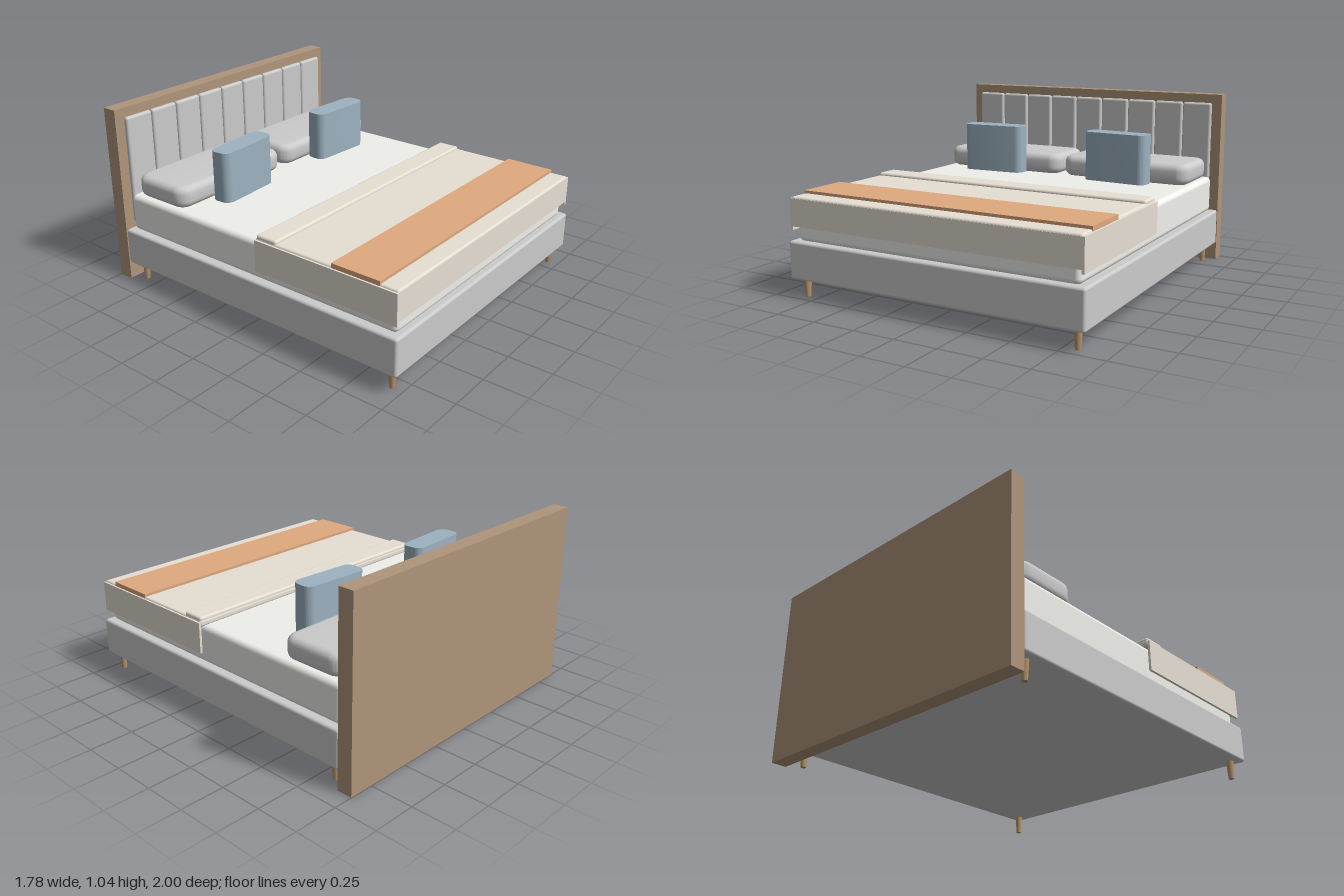
import * as THREE from 'three';
import { RoundedBoxGeometry } from 'three/addons/geometries/RoundedBoxGeometry.js';
import { toCreasedNormals } from 'three/addons/utils/BufferGeometryUtils.js';

const mat = (color) => new THREE.MeshStandardMaterial({ color });

// Upright slab with a rounded plan outline (w along x, d along z) and an optional bevel, standing on y = 0
function cushionGeometry(w, h, d, r, bevel = 0) {
  const x = w / 2 - bevel, y = d / 2 - bevel, q = r - bevel;
  const s = new THREE.Shape();
  s.absarc(x - q, y - q, q, 0, Math.PI / 2);
  s.absarc(q - x, y - q, q, Math.PI / 2, Math.PI);
  s.absarc(q - x, q - y, q, Math.PI, Math.PI * 1.5);
  s.absarc(x - q, q - y, q, Math.PI * 1.5, Math.PI * 2);
  s.closePath();
  const g = new THREE.ExtrudeGeometry(s, {
    depth: h - 2 * bevel, curveSegments: 8, bevelEnabled: bevel > 0,
    bevelSize: bevel, bevelThickness: bevel, bevelSegments: 5,
  });
  g.translate(0, 0, bevel);
  g.rotateX(-Math.PI / 2);
  return toCreasedNormals(g, 0.6);
}

export function createModel() {
  const bed = new THREE.Group();
  bed.name = 'bed';
  const grey = mat(0xcccccc), wood = mat(0xb0957a), legWood = mat(0xb8956a);
  const linen = mat(0xf0f0ec), duvetCloth = mat(0xe6dfd3), throwCloth = mat(0xdfaa80), blue = mat(0x9cb2c0);

  const add = (name, geometry, material, x = 0, y = 0, z = 0) => {
    const m = new THREE.Mesh(geometry, material);
    m.name = name;
    m.position.set(x, y, z);
    bed.add(m);
    return m;
  };
  // Box given by its extents; a radius rounds its edges
  const box = (name, material, [x0, x1], [y0, y1], [z0, z1], r = 0) => {
    const size = [x1 - x0, y1 - y0, z1 - z0];
    const g = r ? new RoundedBoxGeometry(...size, 3, r) : new THREE.BoxGeometry(...size);
    return add(name, g, material, (x0 + x1) / 2, (y0 + y1) / 2, (z0 + z1) / 2);
  };

  // Headboard slab with a row of padded channels
  box('headboard', wood, [-0.89, 0.89], [0, 1.04], [-1, -0.912]);
  const channels = 9, pitch = 0.1855;
  for (let i = 0; i < channels; i++) {
    const x = (i - (channels - 1) / 2) * pitch;
    box('headboardChannel', grey, [x - 0.09, x + 0.09], [0.35, 0.988], [-0.915, -0.882], 0.014);
  }

  // Upholstered base and mattress
  box('base', grey, [-0.89, 0.89], [0.105, 0.32], [-0.912, 1], 0.015);
  box('mattress', linen, [-0.85, 0.85], [0.315, 0.532], [-0.89, 0.97], 0.03);

  // Tapered legs
  for (const x of [-0.825, 0.825]) {
    for (const z of [-0.84, 0.935]) {
      add('leg', new THREE.CylinderGeometry(0.022, 0.015, 0.11, 20), legWood, x, 0.055, z);
    }
  }

  // Duvet: top, hanging sides and front, folded-back edge
  box('duvetTop', duvetCloth, [-0.867, 0.867], [0.528, 0.565], [0.1, 0.988], 0.012);
  box('duvetFront', duvetCloth, [-0.867, 0.867], [0.4, 0.555], [0.974, 0.99]);
  for (const s of [-1, 1]) {
    box('duvetSide', duvetCloth, [s * 0.871 - 0.007, s * 0.871 + 0.007], [0.38, 0.555], [0.102, 0.99]);
  }
  box('duvetFold', duvetCloth, [-0.865, 0.865], [0.545, 0.582], [0.103, 0.238], 0.014);
  box('throwBlanket', throwCloth, [-0.868, 0.868], [0.555, 0.581], [0.595, 0.885]);

  // Pillows and upright cushions
  const pillow = cushionGeometry(0.815, 0.125, 0.385, 0.075, 0.04);
  const cushion = cushionGeometry(0.4, 0.292, 0.128, 0.045);
  for (const s of [-1, 1]) {
    add('pillow', pillow, grey, s * 0.422, 0.531, -0.668);
    add('cushion', cushion, blue, s * 0.422, 0.542, -0.41).rotation.y = -s * 0.06;
  }
  return bed;
}
